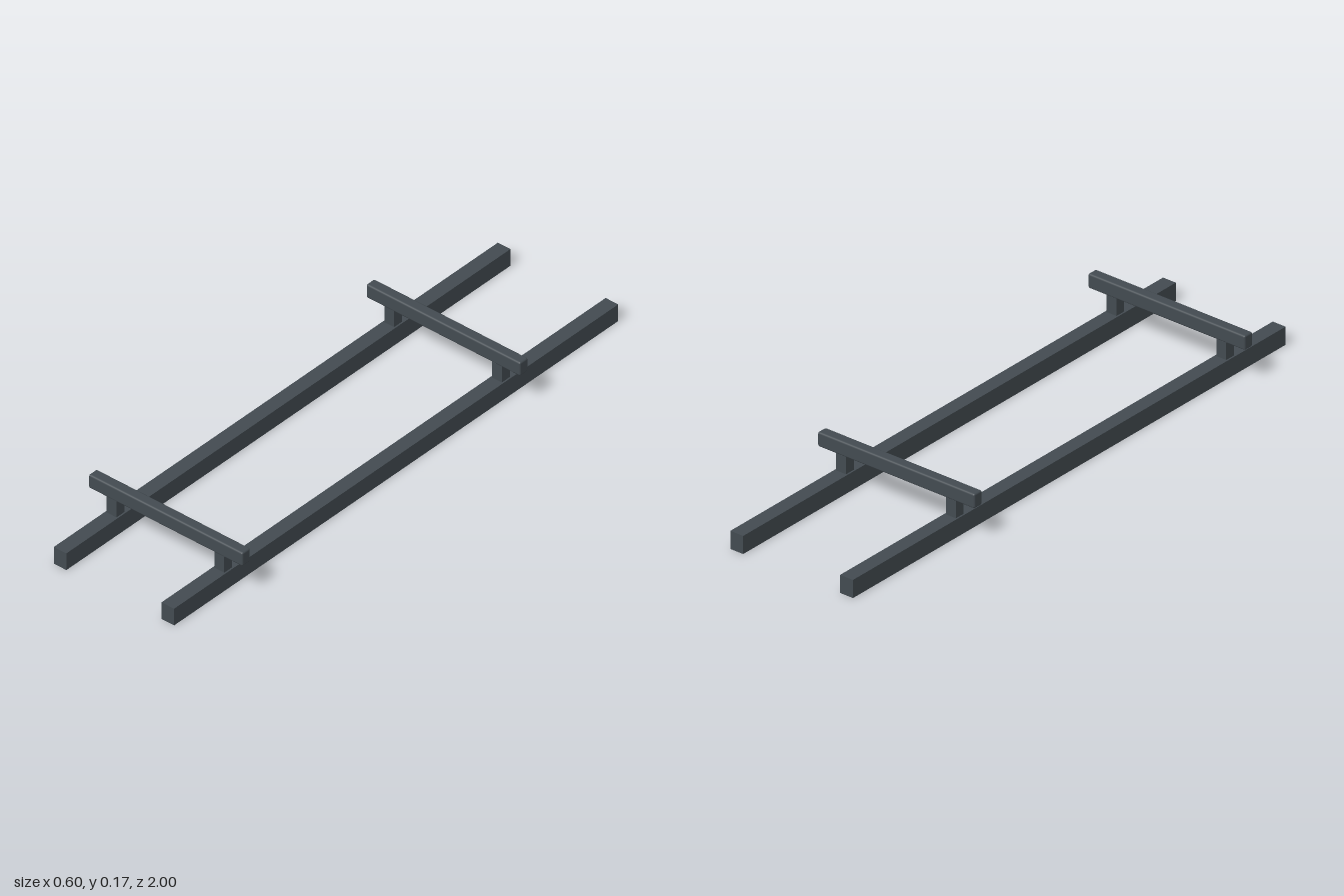
import * as THREE from 'three';
import { RoundedBoxGeometry } from 'three/addons/geometries/RoundedBoxGeometry.js';

export function createModel() {
  const group = new THREE.Group();
  group.name = 'roofRack';
  const material = new THREE.MeshStandardMaterial({ color: 0x434b51 });

  const add = (name, geometry, x, y, z) => {
    const mesh = new THREE.Mesh(geometry, material);
    mesh.name = name;
    mesh.position.set(x, y, z);
    group.add(mesh);
  };

  const railX = 0.21, railHeight = 0.061;
  const barBottom = 0.117, barHeight = 0.049;
  const sides = [['left', 1], ['right', -1]];

  // Two long rails
  const rail = new THREE.BoxGeometry(0.049, railHeight, 2);
  for (const [side, s] of sides) add(side + 'Rail', rail, s * railX, railHeight / 2, 0);

  // Softened crossbars, each on a pair of posts
  const bar = new RoundedBoxGeometry(0.6, barHeight, 0.037, 2, 0.006);
  const postHeight = barBottom - railHeight + 0.004;
  const post = new THREE.BoxGeometry(0.038, postHeight, 0.036);
  for (const [end, z] of [['front', 0.75], ['rear', -0.5]]) {
    add(end + 'Crossbar', bar, 0, barBottom + barHeight / 2, z);
    for (const [side, s] of sides) {
      add(`${end}Post_${side}`, post, s * railX, railHeight - 0.002 + postHeight / 2, z);
    }
  }

  return group;
}
